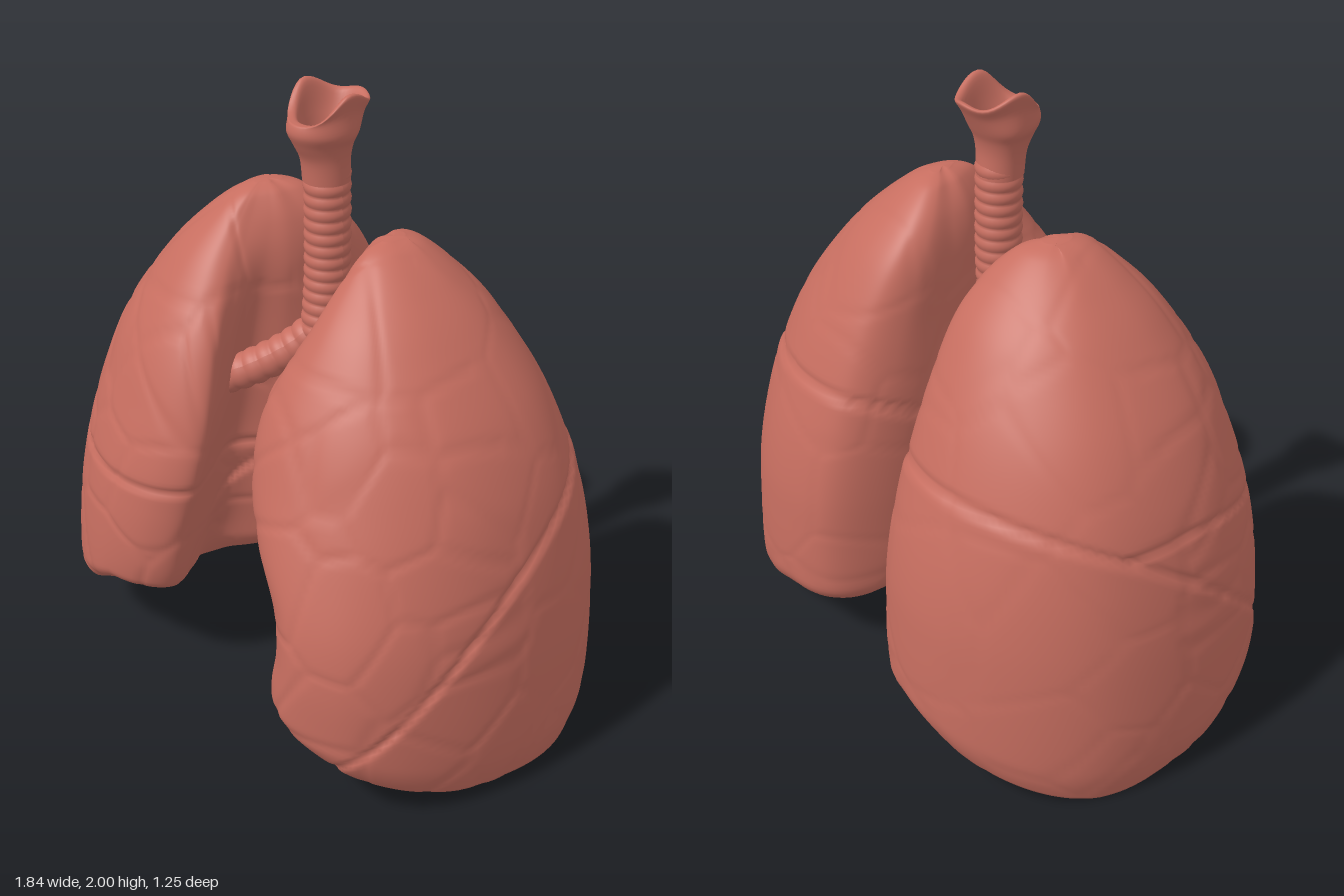
import * as THREE from 'three';

const tissue = new THREE.MeshStandardMaterial({ color: 0xc76e60 });
tissue.name = 'tissue pink';

// Smooth surface through closed rows of points; flip for mirrored parts
function loft(name, rows, flip = false) {
  const n = rows[0].length, pos = [], idx = [];
  rows.forEach(r => r.forEach(p => pos.push(p.x, p.y, p.z)));
  for (let j = 0; j < rows.length - 1; j++) {
    for (let i = 0; i < n; i++) {
      const a = j * n + i, b = j * n + (i + 1) % n, c = b + n, d = a + n;
      if (flip) idx.push(a, c, b, a, d, c);
      else idx.push(a, b, c, a, c, d);
    }
  }
  const g = new THREE.BufferGeometry();
  g.setAttribute('position', new THREE.Float32BufferAttribute(pos, 3));
  g.setIndex(idx);
  g.computeVertexNormals();
  const m = new THREE.Mesh(g, tissue);
  m.name = name;
  return m;
}

// Catmull-Rom interpolation between rows of a small table
function sample(table, p) {
  const i = Math.min(Math.floor(p), table.length - 2), t = p - i;
  const at = k => table[Math.max(0, Math.min(table.length - 1, k))];
  return table[0].map((_, c) => {
    const a = at(i - 1)[c], b = at(i)[c], d = at(i + 1)[c], e = at(i + 2)[c];
    return b + 0.5 * t * (d - a + t * (2 * a - 5 * b + 4 * d - e + t * (3 * (b - d) + e - a)));
  });
}

let seed = 7;
const rand = () => (seed = (seed * 16807) % 2147483647) / 2147483647;
// Seeds of the small surface lobules
const cells = Array.from({ length: 110 }, () =>
  new THREE.Vector3(rand(), rand() * 1.6, rand() * 1.3 - 0.65));
const bump = (d, w) => Math.exp(-(d * d) / (w * w));

// Depth of fissures and lobule creases at a point
function crease(p, horizontal) {
  const oblique = (p.y - (0.77 - 0.72 * p.z - 0.47 * p.z * p.z)) / 1.2;
  let d = 0.012 * bump(oblique, 0.012);
  if (oblique < 0) d -= 0.006 * Math.exp(oblique / 0.15);
  if (horizontal && oblique > 0) {
    const line = 0.76 + 0.9 * Math.max(0, p.x - 0.6) ** 1.5 + 0.05 * (p.x - 0.4) ** 2;
    d += 0.012 * bump(p.y - line, 0.012);
  }
  let f1 = 9, f2 = 9;
  for (const c of cells) {
    const q = c.distanceTo(p);
    if (q < f1) { f2 = f1; f1 = q; } else if (q < f2) f2 = q;
  }
  return d + 0.0045 * bump(f2 - f1, 0.02) * (p.z > 0 ? 1 : 0.5);
}

// Height of the lower rim: lowest at the outer side, raised along the inner side
const rimHeight = (x, z) => {
  const dz = z + 0.17, slope = 0.155 + 0.04 * Math.tanh(z * 4);
  const ends = dz > 0 ? 0.13 * (dz / 0.79) ** 1.4 : 0.065 * (dz / 0.45) ** 2;
  return 0.005 + slope * THREE.MathUtils.clamp((0.87 - x) / 0.5, 0, 1) + ends
    + 0.15 * Math.max(0, (0.5 - x) / 0.36) * bump(z + 0.02, 0.34);
};

// Columns: level, rear inner x, front inner x, hollow x, outer x, front z, rear z
function makeLung(name, table, side, horizontal) {
  const N = 180, STEPS = 12, rows = [];
  const base = new THREE.Vector3(0.6, 0, -0.05);
  for (let k = 0; k <= (table.length - 1) * STEPS; k++) {
    const [lv, xm, xa, xh, xo, zf, zb] = sample(table, k / STEPS);
    const fx = t => xa + (xo - xa) * t, bx = t => xm + (xo - xm) * t;
    const outline = new THREE.CatmullRomCurve3([
      [xa, zf * 0.79], [fx(0.09), zf * 0.93], [fx(0.3), zf], [fx(0.6), zf * 0.9],
      [fx(0.81), zf * 0.69], [fx(0.955), zf * 0.36], [xo, (zf + zb) / 2 - 0.03], [bx(0.95), zb * 0.45],
      [bx(0.8), zb * 0.74], [bx(0.55), zb * 0.95], [bx(0.3), zb], [bx(0.09), zb * 0.91],
      [xm, zb * 0.65], [xm + 0.01, zb * 0.25], [xm * 0.55 + xh * 0.45, zf * 0.06],
      [xh, zf * 0.32], [xa * 0.6 + xh * 0.4, zf * 0.59],
    ].map(([x, z]) => new THREE.Vector3(x, 0, z)), true);
    const cx = lv < 1 ? 0.6 + (0.48 - 0.6) * lv : bx(0.5), cz = (zf + zb) / 2 - 0.05 * Math.max(0, 1 - lv);
    const rounding = Math.max(0, 1 - lv / 0.14) ** 2;
    const row = [];
    for (let i = 0; i < N; i++) {
      const p = outline.getPoint(i / N);
      p.y = lv + rimHeight(p.x, p.z) * Math.max(0, 1 - lv) ** 1.5;
      const r = Math.hypot(p.x - cx, p.z - cz) || 1;
      const inner = THREE.MathUtils.clamp((0.55 - p.x) / 0.4, 0, 1);
      const s = (1 - rounding * (0.06 + 0.1 * inner))
        * (1 - crease(p, horizontal) * Math.min(1, r / 0.15) / r);
      p.x = cx + (p.x - cx) * s;
      p.z = cz + (p.z - cz) * s;
      row.push(p);
    }
    rows.push(row);
  }
  // Closed tip
  const last = rows[rows.length - 1];
  const tip = last.reduce((a, p) => a.add(p), new THREE.Vector3()).divideScalar(N);
  tip.y += 0.003;
  rows.push(last.map(p => p.clone().lerp(tip, 0.5).setY(tip.y - 0.001)), last.map(() => tip.clone()));
  // Hollow underside
  const rim = rows[0], under = [];
  for (let k = 0; k <= 18; k++) {
    const s = k / 19, rise = Math.sin(Math.min(1, (1 - s) * 1.2) * Math.PI / 2);
    under.push(rim.map(p => new THREE.Vector3(
      base.x + (p.x - base.x) * s,
      p.y + (0.41 - p.y) * rise - 0.015 * bump(s - 0.95, 0.06) * s,
      base.z + (p.z - base.z) * s)));
  }
  const all = [...under, ...rows];
  all.forEach(r => r.forEach(p => { p.x *= side; }));
  return loft(name, all, side < 0);
}

// Tube with raised cartilage rings
function ringedTube(name, points, radius, rings) {
  const path = new THREE.CatmullRomCurve3(points.map(p => new THREE.Vector3(...p)));
  const g = new THREE.TubeGeometry(path, rings * 8, 1, 28, false);
  const pos = g.attributes.position, v = new THREE.Vector3();
  for (let i = 0; i < pos.count; i++) {
    const t = Math.floor(i / 29) / (rings * 8), c = path.getPointAt(t);
    const r = radius + 0.006 * (Math.abs(Math.sin(t * rings * Math.PI)) - 0.5);
    v.fromBufferAttribute(pos, i).sub(c).multiplyScalar(r).add(c);
    pos.setXYZ(i, v.x, v.y, v.z);
  }
  g.computeVertexNormals();
  const m = new THREE.Mesh(g, tissue);
  m.name = name;
  return m;
}

// Flared, hollow top of the windpipe with two side horns
function makeLarynx() {
  // Columns: height, half width, front z, rear z, share of the wavy rim
  const profile = [
    [1.72, 0.072, 0.076, 0.07, 0], [1.79, 0.076, 0.085, 0.065, 0], [1.84, 0.086, 0.11, 0.072, 0],
    [1.88, 0.102, 0.13, 0.09, 0], [1.91, 0.1, 0.126, 0.115, 0.4], [1.915, 0.11, 0.115, 0.135, 1],
    [1.91, 0.088, 0.092, 0.112, 1], [1.88, 0.07, 0.078, 0.08, 0.3], [1.84, 0.05, 0.055, 0.055, 0],
    [1.82, 0.001, 0.001, 0.001, 0]];
  const rows = [];
  for (let k = 0; k <= (profile.length - 1) * 5; k++) {
    const [y, rx, zf, zb, wave] = sample(profile, k / 5);
    rows.push(Array.from({ length: 48 }, (_, i) => {
      const a = i / 48 * Math.PI * 2, s = Math.sin(a), c = Math.cos(a);
      const lift = 0.085 * Math.abs(s) ** 4 + 0.055 * Math.max(0, -c) ** 2;
      return new THREE.Vector3(rx * s, y + wave * lift, (c > 0 ? zf : zb) * c);
    }));
  }
  return loft('larynx', rows);
}

export function createModel() {
  const group = new THREE.Group();
  group.name = 'lungs';
  const leftTable = [
    [0, 0.13, 0.37, 0.44, 0.895, 0.62, -0.62], [0.2, 0.11, 0.38, 0.425, 0.912, 0.625, -0.622],
    [0.4, 0.105, 0.4, 0.42, 0.912, 0.62, -0.618], [0.6, 0.1, 0.37, 0.39, 0.9, 0.605, -0.605],
    [0.8, 0.1, 0.26, 0.33, 0.87, 0.575, -0.57], [1.0, 0.105, 0.175, 0.26, 0.82, 0.52, -0.51],
    [1.2, 0.115, 0.165, 0.21, 0.73, 0.44, -0.43], [1.4, 0.125, 0.23, 0.19, 0.585, 0.31, -0.32],
    [1.52, 0.155, 0.25, 0.2, 0.47, 0.2, -0.215], [1.6, 0.21, 0.265, 0.235, 0.37, 0.11, -0.12],
    [1.627, 0.265, 0.285, 0.272, 0.31, 0.04, -0.05]];
  // The right lung has no notch in its front edge
  const front = [0.22, 0.17, 0.14, 0.115, 0.09, 0.09, 0.13, 0.2, 0.24, 0.26, 0.285];
  const hollow = [0.4, 0.35, 0.3, 0.27, 0.25, 0.22, 0.2, 0.185, 0.2, 0.235, 0.272];
  const rightTable = leftTable.map((r, i) =>
    [r[0], r[1], front[i], hollow[i], r[4] + 0.008, r[5], r[6]]);
  group.add(makeLung('leftLung', leftTable, 1, false));
  group.add(makeLung('rightLung', rightTable, -1, true));

  group.add(ringedTube('windpipe', [[0, 1.17, 0.02], [0, 1.4, 0], [0, 1.76, 0]], 0.07, 15));
  group.add(ringedTube('leftBronchus',
    [[0, 1.25, 0.01], [0.06, 1.17, 0.07], [0.16, 1.07, 0.19], [0.28, 1.0, 0.28]], 0.057, 9));
  group.add(ringedTube('rightBronchus',
    [[0, 1.25, 0.01], [-0.06, 1.17, 0.07], [-0.15, 1.09, 0.17], [-0.27, 1.02, 0.26]], 0.057, 9));
  group.add(makeLarynx());
  return group;
}
